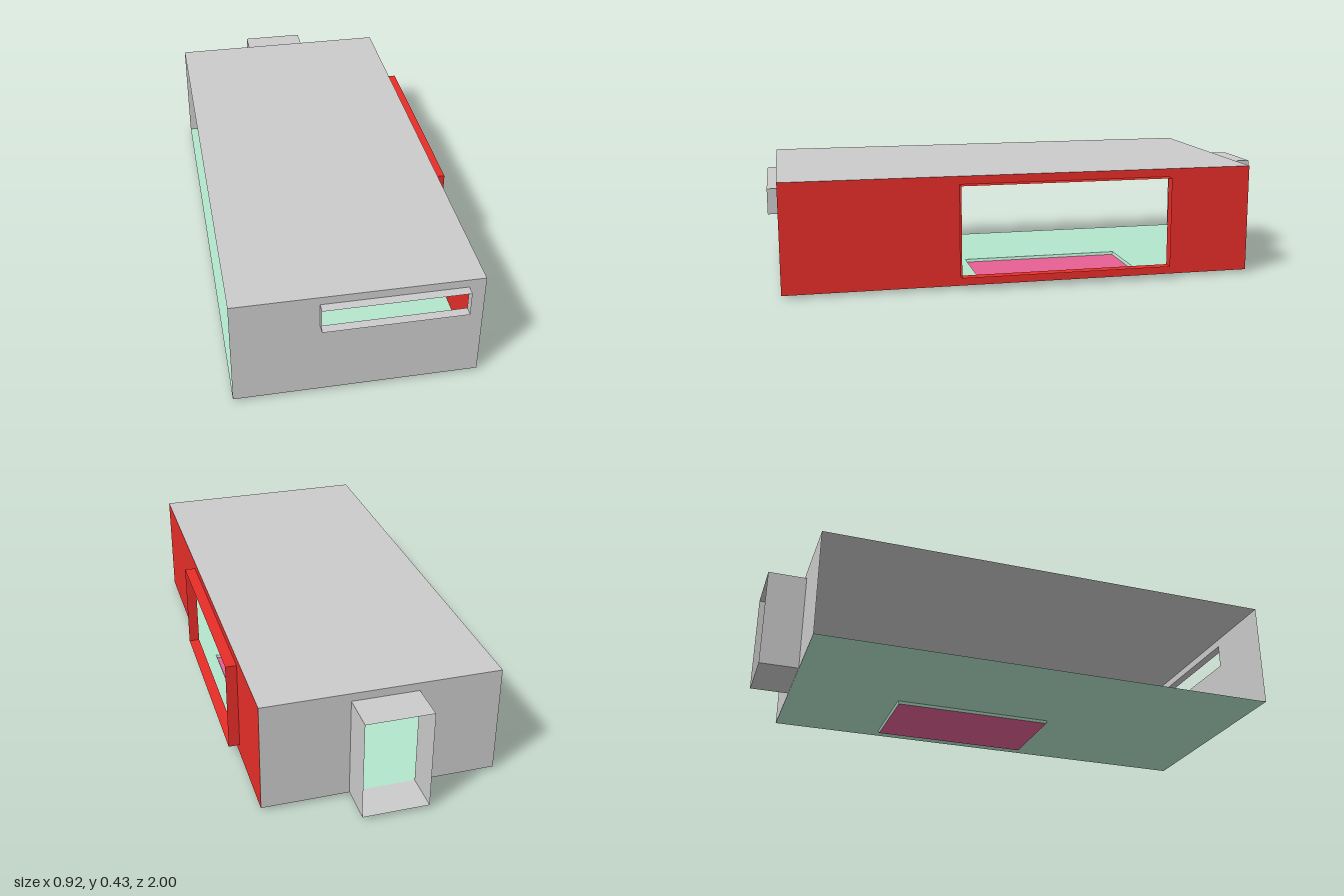
import * as THREE from 'three';

const X0 = -0.462, X1 = 0.42, Y0 = 0.011, Y1 = 0.43, Z0 = -0.852, Z1 = 0.965;

const paint = (color) => new THREE.MeshStandardMaterial({ color, side: THREE.DoubleSide, flatShading: true });

// Corners of a rectangle given as [x0, y0, x1, y1], counter-clockwise
const corners = ([x0, y0, x1, y1]) => [[x0, y0], [x1, y0], [x1, y1], [x0, y1]];
const points = (rect) => corners(rect).map(([x, y]) => new THREE.Vector2(x, y));

// Thin flat panel in the XY plane, facing +z, with an optional rectangular opening
function panelGeometry(rect, hole) {
  const shape = new THREE.Shape(points(rect));
  if (hole) shape.holes.push(new THREE.Path(points(hole)));
  return new THREE.ShapeGeometry(shape);
}

// Open-ended rectangular sleeve from z = 0 to z = depth, narrowing by inset
function sleeveGeometry([x0, y0, x1, y1], depth, inset = 0) {
  const near = corners([x0, y0, x1, y1]);
  const far = corners([x0 + inset, y0 + inset, x1 - inset, y1 - inset]);
  const pos = [];
  for (let i = 0; i < 4; i++) {
    const j = (i + 1) % 4;
    const a = [...near[i], 0], b = [...near[j], 0], c = [...far[j], depth], d = [...far[i], depth];
    pos.push(...a, ...b, ...c, ...a, ...c, ...d);
  }
  const geometry = new THREE.BufferGeometry();
  geometry.setAttribute('position', new THREE.Float32BufferAttribute(pos, 3));
  geometry.computeVertexNormals();
  return geometry;
}

export function createModel() {
  const model = new THREE.Group();
  model.name = 'room';
  const grey = paint(0xcccccc), red = paint(0xe82e28), green = paint(0xb4e6cc), pink = paint(0xe66095);

  const add = (parent, name, geometry, material) => {
    const mesh = new THREE.Mesh(geometry, material);
    mesh.name = name;
    parent.add(mesh);
    return mesh;
  };
  const side = (name, position, rotation) => {
    const group = new THREE.Group();
    group.name = name;
    group.position.set(...position);
    group.rotation.set(...rotation);
    model.add(group);
    return group;
  };

  // Front wall with a long, shallow window
  const front = side('frontSide', [0, 0, Z1], [0, 0, 0]);
  const slot = [-0.154, 0.305, 0.361, 0.399];
  add(front, 'frontWall', panelGeometry([X0, Y0, X1, Y1], slot), grey);
  add(front, 'frontWindowFrame', sleeveGeometry(slot, 0.035), grey);

  // Back wall with a doorway and deep porch (local x is mirrored)
  const back = side('backSide', [0, 0, Z0], [0, Math.PI, 0]);
  const door = [-0.095, 0.013, 0.154, 0.399];
  add(back, 'backWall', panelGeometry([-X1, Y0, -X0, Y1], door), grey);
  add(back, 'doorPorch', sleeveGeometry(door, 0.148), grey);

  // Red side wall with a large window (local x is -z)
  const accent = side('windowSide', [X1, 0, 0], [0, Math.PI / 2, 0]);
  const pane = [-0.303, 0.05, 0.517, 0.399];
  add(accent, 'sideWall', panelGeometry([-Z1, Y0, -Z0, Y1], pane), red);
  add(accent, 'sideWindowFrame', sleeveGeometry(pane, 0.042), red);

  // Roof; the remaining side of the room stays open
  const top = side('topSide', [0, Y1, 0], [-Math.PI / 2, 0, 0]);
  add(top, 'roof', panelGeometry([X0, -Z1, X1, -Z0]), grey);

  // Floor with a shallow sunken panel (local y is z, local z points down)
  const base = side('floorSide', [0, Y0, 0], [Math.PI / 2, 0, 0]);
  const well = [0.018, -0.426, 0.363, 0.215], inset = 0.004;
  add(base, 'floor', panelGeometry([X0, Z0, X1, Z1], well), green);
  add(base, 'sunkenRim', sleeveGeometry(well, Y0, inset), green);
  const [a, b, c, d] = well;
  add(base, 'sunkenPanel', panelGeometry([a + inset, b + inset, c - inset, d - inset]), pink).position.z = Y0;

  return model;
}
